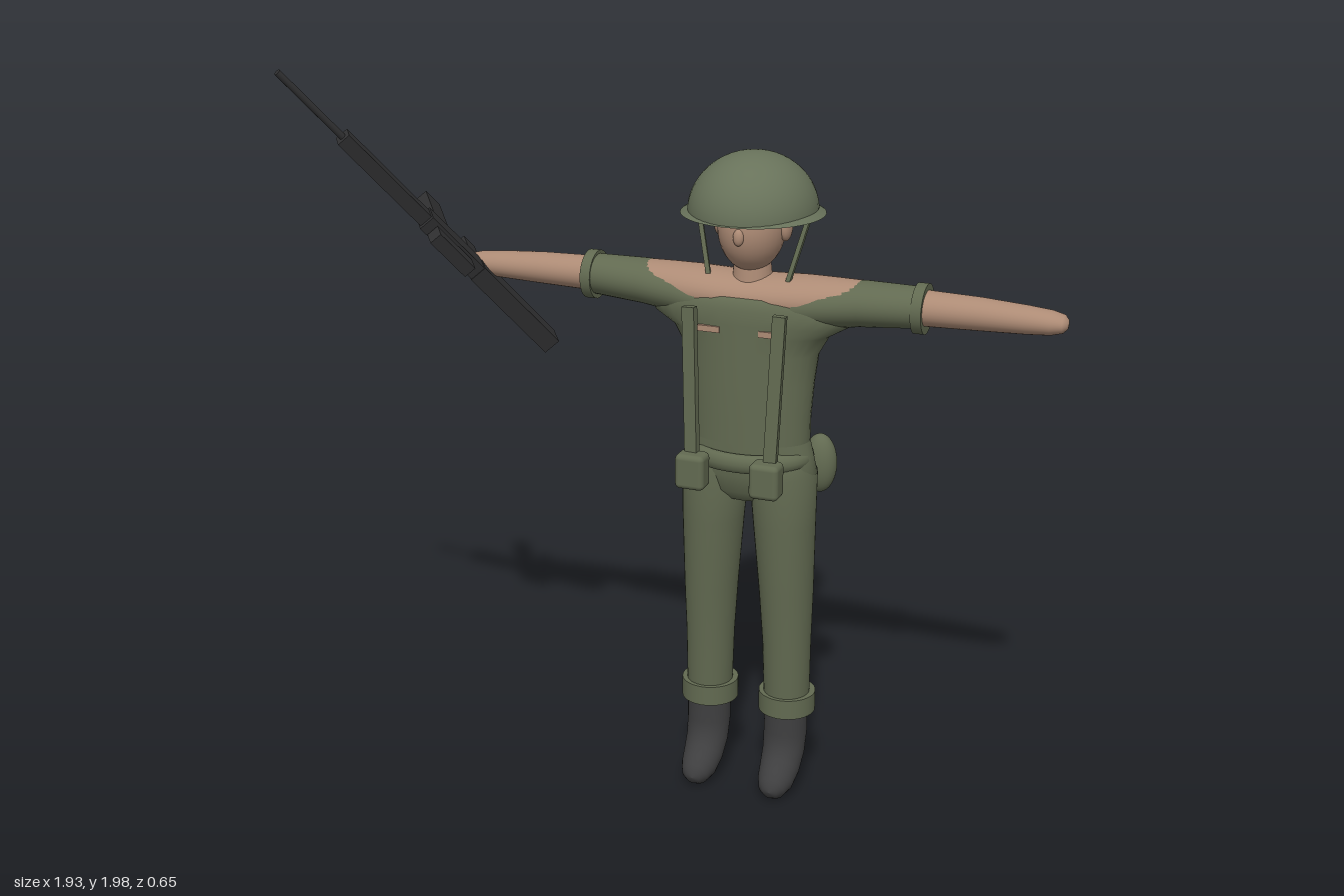
import * as THREE from 'three';
import { RoundedBoxGeometry } from 'three/addons/geometries/RoundedBoxGeometry.js';

const CX = 0.14, CZ = -0.135; // centre line of the figure
const V = (x, y, z) => new THREE.Vector3(x, y, z);

const mat = (name, color) => {
  const m = new THREE.MeshStandardMaterial({ color });
  m.name = name;
  return m;
};

// Skin a surface over elliptical rings; each ring is [centre, u, v], with u x v along the path
function loft(rings, seg = 32) {
  const pos = [], idx = [];
  rings.forEach(([c, u, v], i) => {
    for (let j = 0; j < seg; j++) {
      const a = (j / seg) * Math.PI * 2;
      const p = c.clone().addScaledVector(u, Math.cos(a)).addScaledVector(v, Math.sin(a));
      pos.push(p.x, p.y, p.z);
      if (i === rings.length - 1) continue;
      const k = (j + 1) % seg, A = i * seg, B = A + seg;
      idx.push(A + j, A + k, B + k, A + j, B + k, B + j);
    }
  });
  const g = new THREE.BufferGeometry();
  g.setAttribute('position', new THREE.Float32BufferAttribute(pos, 3));
  g.setIndex(idx);
  g.computeVertexNormals();
  return g;
}

// rows [y, rx, rz, cx, cz], going up
const loftY = rows => loft(rows.map(([y, rx, rz, x = CX, z = -0.13]) => [V(x, y, z), V(0, 0, rz), V(rx, 0, 0)]));
// rows [x, cy, ry, rz], going toward +x
const loftX = rows => loft(rows.map(([x, y, ry, rz]) => [V(CX + x, y, -0.14), V(0, ry, 0), V(0, 0, rz)]));
const mirrorRows = half => [...half.slice(1).reverse().map(([x, ...r]) => [-x, ...r]), ...half];

export function createModel() {
  const root = new THREE.Group();
  root.name = 'soldier';
  const cloth = mat('olive cloth', 0x626a51);
  const helmetGreen = mat('helmet green', 0x68725a);
  const skin = mat('skin', 0xad8b75);
  const leather = mat('dark leather', 0x3e3e3f);
  const metal = mat('gun metal', 0x303031);

  const add = (name, geo, material, x = 0, y = 0, z = 0, parent = root) => {
    const m = new THREE.Mesh(geo, material);
    m.name = name;
    m.position.set(x, y, z);
    parent.add(m);
    return m;
  };
  const ball = (name, material, x, y, z, rx, ry, rz) => {
    const m = add(name, new THREE.SphereGeometry(1, 32, 20), material, x, y, z);
    m.scale.set(rx, ry, rz);
    return m;
  };
  const bar = (name, material, p, q, w, d) => {
    const dir = q.clone().sub(p), mid = p.clone().add(q).multiplyScalar(0.5);
    const m = add(name, new THREE.BoxGeometry(w, dir.length(), d), material, mid.x, mid.y, mid.z);
    m.quaternion.setFromUnitVectors(V(0, 1, 0), dir.normalize());
    return m;
  };

  // Helmet and head
  const dome = add('helmetDome', new THREE.SphereGeometry(1, 40, 16, 0, Math.PI * 2, 0, Math.PI / 2), helmetGreen, CX, 1.64, CZ);
  dome.scale.set(0.167, 0.155, 0.183);
  add('helmetBrim', new THREE.CylinderGeometry(0.168, 0.187, 0.012, 48), helmetGreen, CX, 1.644, CZ);
  ball('head', skin, CX, 1.605, -0.127, 0.087, 0.118, 0.103);
  ball('nose', skin, CX, 1.595, -0.025, 0.014, 0.022, 0.012);
  add('neck', new THREE.CylinderGeometry(0.045, 0.055, 0.09, 24), skin, CX, 1.49, -0.135);

  // Bare arms running through the open collar
  add('armsAndShoulders', loftX(mirrorRows([
    [0, 1.42, 0.058, 0.09], [0.08, 1.421, 0.06, 0.089], [0.15, 1.422, 0.062, 0.084], [0.22, 1.426, 0.058, 0.076],
    [0.3, 1.43, 0.053, 0.068], [0.45, 1.43, 0.046, 0.052], [0.6, 1.43, 0.042, 0.047], [0.72, 1.428, 0.036, 0.042],
    [0.78, 1.427, 0.031, 0.038], [0.81, 1.427, 0.023, 0.03], [0.82, 1.427, 0.012, 0.016], [0.822, 1.427, 0.0005, 0.0005],
  ])), skin);

  // Shirt body, flaring into the sleeves
  add('shirt', loftY([
    [1.0, 0.165, 0.1], [1.1, 0.166, 0.1], [1.2, 0.174, 0.099], [1.28, 0.185, 0.097], [1.33, 0.213, 0.096],
    [1.36, 0.265, 0.095], [1.4, 0.29, 0.094], [1.43, 0.25, 0.08], [1.44, 0.001, 0.001],
  ]), cloth);

  // Trouser seat
  add('trouserSeat', loftY([
    [0.85, 0.001, 0.001], [0.87, 0.09, 0.06], [0.9, 0.165, 0.085], [0.95, 0.187, 0.098],
    [1.0, 0.175, 0.1], [1.04, 0.165, 0.1],
  ]), cloth);

  for (const s of [-1, 1]) {
    const side = s > 0 ? 'left' : 'right';
    const X = d => CX + s * d;

    // Sleeve and its rolled end
    const sleeve = [[0.13, 1.405, 0.062, 0.088], [0.2, 1.415, 0.062, 0.084], [0.3, 1.425, 0.059, 0.074], [0.45, 1.43, 0.053, 0.057]];
    add(side + 'Sleeve', loftX(s > 0 ? sleeve : sleeve.map(([x, ...r]) => [-x, ...r]).reverse()), cloth);
    const band = add(side + 'SleeveRoll', new THREE.CylinderGeometry(0.065, 0.065, 0.028, 32), cloth, X(0.45), 1.427, -0.143);
    band.rotation.z = Math.PI / 2;

    // Ear and chin strap
    ball(side + 'Ear', skin, X(0.089), 1.605, CZ, 0.016, 0.036, 0.026);
    bar(side + 'ChinStrap', cloth, V(X(0.152), 1.645, -0.138), V(X(0.108), 1.47, -0.1), 0.01, 0.012);

    // Trouser leg and cuff
    add(side + 'TrouserLeg', loftY([
      [0.26, 0.062, 0.062, X(0.113), -0.14], [0.45, 0.066, 0.07, X(0.111), -0.138], [0.6, 0.073, 0.08, X(0.108), -0.135],
      [0.8, 0.083, 0.091, X(0.101)], [0.95, 0.091, 0.097, X(0.095)], [1.0, 0.06, 0.08, X(0.095)],
    ]), cloth);
    add(side + 'TrouserCuff', new THREE.CylinderGeometry(0.078, 0.078, 0.056, 32), cloth, X(0.113), 0.273, -0.143);

    // Boot bending forward to a rounded toe: [y, z, half width, half height]
    const path = [
      [0.27, -0.137, 0.06, 0.06], [0.18, -0.135, 0.06, 0.058], [0.125, -0.122, 0.058, 0.056], [0.085, -0.09, 0.055, 0.053],
      [0.06, -0.053, 0.049, 0.047], [0.05, -0.022, 0.037, 0.035], [0.048, -0.006, 0.02, 0.019], [0.048, -0.001, 0.0005, 0.0005],
    ];
    add(side + 'Boot', loft(path.map(([y, z, rx, r], i) => {
      const a = path[Math.max(i - 1, 0)], b = path[Math.min(i + 1, path.length - 1)];
      const w = V(0, b[0] - a[0], b[1] - a[1]).normalize();
      return [V(X(0.113), y, z), V(rx, 0, 0), V(0, w.z * r, -w.y * r)];
    })), leather);

    // Webbing straps, pouch, canteen and chest pocket slit
    bar(side + 'FrontStrap', cloth, V(X(0.122), 1.41, 0), V(X(0.108), 1.02, 0.015), 0.022, 0.034);
    bar(side + 'BackStrap', cloth, V(X(0.12), 1.41, -0.262), V(X(0.07), 1.0, -0.277), 0.036, 0.024);
    add(side + 'Pouch', new RoundedBoxGeometry(0.08, 0.095, 0.062, 3, 0.014), cloth, X(0.102), 0.977, 0.029);
    ball(side + 'Canteen', cloth, X(0.153), 0.93, -0.266, 0.047, 0.083, 0.04);
    add(side + 'PocketSlit', new THREE.BoxGeometry(0.06, 0.016, 0.009), skin, X(0.083), 1.345, -0.038);
  }

  // Belt
  const belt = add('belt', new THREE.TorusGeometry(0.14, 0.024, 12, 48), cloth, CX, 0.992, -0.13);
  belt.rotation.x = Math.PI / 2;
  belt.scale.set(1.07, 0.78, 1.1);

  // Rifle: local z runs from muzzle to butt, local y toward the magazine
  const rifle = new THREE.Group();
  rifle.name = 'rifle';
  const along = V(0.46, -0.81, -0.57).normalize();
  const across = V(-0.585, 0.21, -0.78);
  across.addScaledVector(along, -across.dot(along)).normalize();
  const sideways = across.clone().cross(along);
  rifle.quaternion.setFromRotationMatrix(new THREE.Matrix4().makeBasis(sideways, across, along));
  rifle.position.set(-0.957, 1.995, 0.318);
  root.add(rifle);
  const block = (name, w, h, l, y, z) => add(name, new THREE.BoxGeometry(w, h, l), metal, 0, y, z, rifle);
  const barrel = add('barrel', new THREE.CylinderGeometry(0.009, 0.009, 0.3, 12), metal, 0, 0, 0.15, rifle);
  barrel.rotation.x = Math.PI / 2;
  block('handguard', 0.038, 0.042, 0.36, 0, 0.42);
  block('receiver', 0.046, 0.064, 0.24, 0, 0.68);
  block('stock', 0.05, 0.068, 0.32, 0, 0.93);
  block('magazine', 0.034, 0.19, 0.058, 0.095, 0.62);
  block('grip', 0.034, 0.12, 0.045, 0.06, 0.755);
  block('sight', 0.036, 0.05, 0.14, -0.07, 0.65);
  block('sightMount', 0.02, 0.05, 0.06, -0.035, 0.65);

  return root;
}
